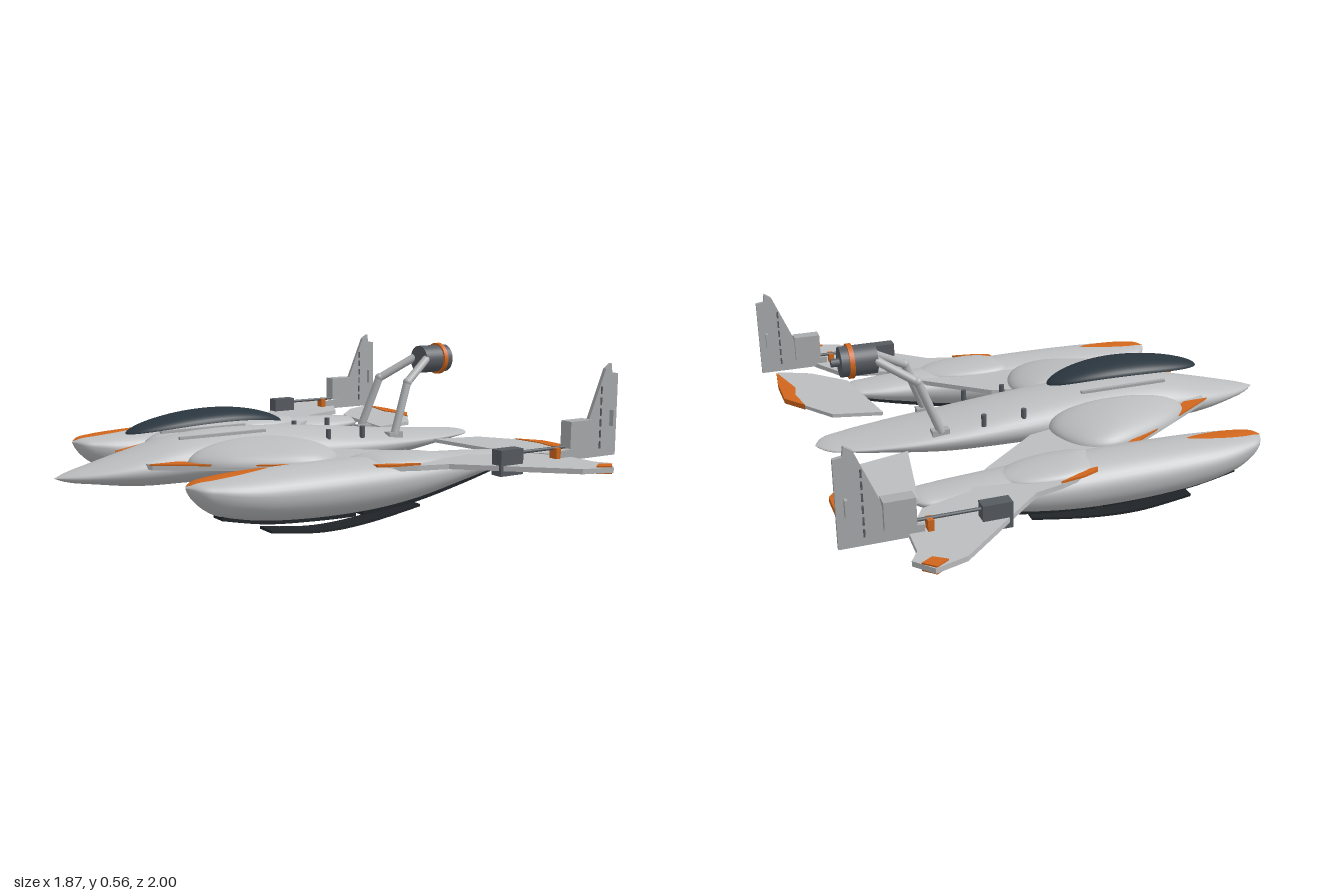
import * as THREE from 'three';
import { mergeVertices } from 'three/addons/utils/BufferGeometryUtils.js';

const mat = (name, color, side = THREE.FrontSide) => {
  const m = new THREE.MeshStandardMaterial({ color, side });
  m.name = name;
  return m;
};

// Grid surface from a function (u, v) -> [x, y, z]; outside is du x dv
function surf(fn, nu, nv) {
  const pos = [], idx = [], w = nv + 1;
  for (let i = 0; i <= nu; i++) for (let j = 0; j <= nv; j++) pos.push(...fn(i / nu, j / nv));
  for (let i = 0; i < nu; i++) for (let j = 0; j < nv; j++) {
    const a = i * w + j, b = a + w;
    idx.push(a, b, a + 1, b, b + 1, a + 1);
  }
  let g = new THREE.BufferGeometry();
  g.setAttribute('position', new THREE.Float32BufferAttribute(pos, 3));
  g.setIndex(idx);
  g = mergeVertices(g, 1e-5);
  g.computeVertexNormals();
  return g;
}

// Smooth stations [x, halfWidth, top, bottom, middle]
function profile(stations) {
  const f = new THREE.CubicInterpolant(stations.map(s => s[0]), stations.flatMap(s => s.slice(1)), 4);
  return x => Array.from(f.evaluate(x));
}
function loft(at, x0, x1, zc) {
  return surf((u, v) => {
    const x = x0 + (x1 - x0) * (1 - Math.cos(u * Math.PI)) / 2;
    const [w, top, bot, mid] = at(x), t = v * Math.PI * 2 - Math.PI / 2, s = Math.sin(t);
    return [x, mid + s * (s > 0 ? top - mid : mid - bot), zc + Math.max(w, 0) * Math.cos(t)];
  }, 56, 40);
}

// Flat plate from a plan outline [x, z]
function plate(pts, y, thick) {
  const shape = new THREE.Shape(pts.map(([x, z]) => new THREE.Vector2(x, -z)));
  return new THREE.ExtrudeGeometry(shape, { depth: thick, bevelEnabled: false }).rotateX(-Math.PI / 2).translate(0, y, 0);
}
// Upright plate from a side outline [x, y]
function upright(pts, z, thick) {
  const shape = new THREE.Shape(pts.map(p => new THREE.Vector2(...p)));
  return new THREE.ExtrudeGeometry(shape, { depth: thick, bevelEnabled: false }).translate(0, 0, z - thick / 2);
}
// Rounded swelling over a plan outline
function blister(pts, cx, cz, y, h) {
  const c = new THREE.CatmullRomCurve3(pts.map(([x, z]) => new THREE.Vector3(x, 0, z)), true);
  return surf((u, v) => {
    const p = c.getPoint(v % 1), r = Math.sin(u * Math.PI / 2);
    return [cx + (p.x - cx) * r, y + h * Math.cos(u * Math.PI / 2), cz + (p.z - cz) * r];
  }, 14, 48);
}
const box = (x0, x1, y0, y1, z0, z1) =>
  new THREE.BoxGeometry(x1 - x0, y1 - y0, z1 - z0).translate((x0 + x1) / 2, (y0 + y1) / 2, (z0 + z1) / 2);
const rodX = (r, x0, x1, y, z, n = 24) =>
  new THREE.CylinderGeometry(r, r, x1 - x0, n).rotateZ(-Math.PI / 2).translate((x0 + x1) / 2, y, z);
function strut(a, b, r) {
  const A = new THREE.Vector3(...a), B = new THREE.Vector3(...b);
  return new THREE.TubeGeometry(new THREE.LineCurve3(A, B), 1, r, 12, false);
}
function mirrorZ(geo) {
  const g = geo.clone().scale(1, 1, -1);
  const n = g.attributes.position.count;
  const idx = g.index ? Array.from(g.index.array) : Array.from({ length: n }, (_, i) => i);
  for (let i = 0; i < idx.length; i += 3) [idx[i + 1], idx[i + 2]] = [idx[i + 2], idx[i + 1]];
  g.setIndex(idx);
  return g;
}

export function createModel() {
  const hull = mat('hull grey', 0xbcbdbf), panel = mat('panel grey', 0xa9abad);
  const orange = mat('orange trim', 0xd0661c), glass = mat('canopy dark blue', 0x2a363f, THREE.DoubleSide);
  const steel = mat('dark steel', 0x565b61), black = mat('keel black', 0x202428);
  const tube = mat('strut grey', 0xb0b2b4, THREE.DoubleSide);
  const model = new THREE.Group();
  const add = (name, geo, m) => {
    const mesh = new THREE.Mesh(geo, m);
    mesh.name = name;
    model.add(mesh);
  };
  const pair = (name, geo, m) => {
    add(name + 'Left', geo, m);
    add(name + 'Right', mirrorZ(geo), m);
  };

  // Fuselage
  const body = profile([
    [-0.94, 0, 0.17, 0.17, 0.17], [-0.9, 0.033, 0.183, 0.155, 0.17], [-0.8, 0.082, 0.207, 0.138, 0.172],
    [-0.65, 0.13, 0.243, 0.117, 0.18], [-0.5, 0.152, 0.278, 0.112, 0.187], [-0.3, 0.163, 0.292, 0.11, 0.19],
    [0, 0.163, 0.28, 0.11, 0.19], [0.2, 0.16, 0.26, 0.113, 0.19], [0.4, 0.15, 0.237, 0.122, 0.19],
    [0.6, 0.125, 0.218, 0.15, 0.19], [0.75, 0.09, 0.206, 0.174, 0.19], [0.83, 0.05, 0.199, 0.184, 0.191],
    [0.857, 0, 0.191, 0.191, 0.191]]);
  add('fuselage', loft(body, -0.94, 0.857, 0), hull);

  // Canopy shell raised above the cockpit
  add('canopy', surf((u, v) => {
    const e = -Math.cos(u * Math.PI), k = Math.sqrt(Math.max(0, 1 - e * e)), t = v * Math.PI;
    return [-0.355 + 0.315 * e, 0.302 + 0.008 * e * (1 - e * e) + 0.028 * k * k + 0.041 * k * Math.sin(t), 0.097 * k * Math.cos(t)];
  }, 40, 20), glass);
  pair('cockpitRail', box(-0.5, -0.15, 0.278, 0.288, 0.07, 0.085), panel);

  // Fuselage fasteners
  for (const x of [0.1, 0.255])
    pair('fastener', new THREE.CylinderGeometry(0.01, 0.01, 0.045, 12).translate(x, 0.25, 0.125), steel);

  // Floats
  const pod = profile([
    [-0.685, 0, 0.2, 0.2, 0.2], [-0.66, 0.045, 0.212, 0.16, 0.193], [-0.6, 0.078, 0.221, 0.108, 0.182],
    [-0.5, 0.105, 0.228, 0.078, 0.168], [-0.35, 0.119, 0.234, 0.057, 0.158], [0, 0.123, 0.235, 0.05, 0.155],
    [0.2, 0.115, 0.228, 0.07, 0.16], [0.4, 0.095, 0.22, 0.11, 0.17], [0.55, 0.078, 0.21, 0.145, 0.18],
    [0.62, 0.055, 0.203, 0.166, 0.186], [0.655, 0, 0.19, 0.19, 0.19]]);
  pair('float', loft(pod, -0.685, 0.655, 0.5), hull);
  pair('floatNoseStripe', surf((u, v) => {
    const x = -0.683 + 0.303 * u, [w, top, , mid] = pod(x);
    const half = Math.min(0.032 * Math.pow(Math.sin(Math.PI * Math.pow(u, 0.75)), 0.7) || 0, w * 0.9);
    const z = Math.max(0, half) * (1 - 2 * v), q = w > 0 ? z / w : 0;
    return [x, mid + (top - mid) * Math.sqrt(Math.max(0, 1 - q * q)) + 0.004, 0.5 + z];
  }, 28, 8), orange);

  // Keel strips under each float
  const strip = (pts, width, thick) => {
    const c = new THREE.SplineCurve(pts.map(p => new THREE.Vector2(...p))).getPoints(20).map(p => [p.x, p.y]);
    return upright([...c, ...c.slice().reverse().map(([x, y]) => [x, y + thick])], 0.5, width);
  };
  pair('keelFront', strip([[-0.57, 0.085], [-0.4, 0.053], [-0.2, 0.04], [-0.05, 0.037]], 0.062, 0.022), black);
  pair('keelRear', strip([[-0.02, 0.037], [0.2, 0.058], [0.4, 0.098], [0.57, 0.14]], 0.062, 0.022), black);
  pair('keelRunner', strip([[-0.39, 0.022], [-0.19, 0], [0, 0.009], [0.22, 0.042]], 0.078, 0.009), black);

  // Wings with root and float fairings
  pair('wing', plate([[-0.65, 0.1], [-0.64, 0.155], [-0.19, 0.44], [0, 0.57], [0.14, 0.63], [0.25, 0.66], [0.38, 0.78],
    [0.58, 0.965], [0.69, 1], [0.745, 0.935], [0.715, 0.885], [0.71, 0.77], [0.63, 0.63], [0.45, 0.57], [0.35, 0.43],
    [0.11, 0.225], [0, 0.2], [0, 0.1]], 0.194, 0.018), hull);
  pair('wingRootFairing', blister([[-0.52, 0.18], [-0.47, 0.27], [-0.3, 0.37], [-0.12, 0.42], [-0.02, 0.37], [0.03, 0.22],
    [-0.02, 0.13], [-0.4, 0.12]], -0.27, 0.18, 0.208, 0.075), hull);
  pair('floatFairing', blister([[-0.03, 0.43], [0, 0.56], [0.1, 0.605], [0.28, 0.58], [0.34, 0.51], [0.28, 0.44],
    [0.1, 0.4]], 0.08, 0.5, 0.208, 0.036), hull);
  pair('leadingEdgeStripe', plate([[-0.65, 0.153], [-0.55, 0.155], [-0.49, 0.2], [-0.19, 0.42], [-0.18, 0.44],
    [-0.22, 0.428]], 0.211, 0.006), orange);
  pair('outerWingStripe', plate([[-0.01, 0.565], [0.03, 0.575], [0.15, 0.63], [0.06, 0.615], [0, 0.59]], 0.213, 0.008), orange);
  pair('wingVent', box(-0.265, -0.15, 0.2, 0.222, 0.443, 0.458), steel);
  const diamond = [[0.64, 0.968], [0.685, 0.997], [0.722, 0.962], [0.683, 0.937]];
  pair('wingTipMarkTop', plate(diamond, 0.212, 0.005), orange);
  pair('wingTipMarkBottom', plate(diamond, 0.189, 0.005), orange);

  // Tailplanes
  pair('tailplane', plate([[0.56, 0.185], [0.62, 0.55], [0.745, 0.68], [0.87, 0.74], [0.885, 0.6], [0.885, 0.44],
    [0.83, 0.355], [0.745, 0.23]], 0.19, 0.014), hull);
  pair('tailplaneStripe', plate([[0.878, 0.73], [0.892, 0.6], [0.892, 0.44], [0.828, 0.35], [0.845, 0.47], [0.832, 0.54]],
    0.187, 0.02), orange);

  // Upright fins with their fittings
  pair('fin', upright([[0.66, 0.2], [0.66, 0.235], [0.775, 0.245], [0.795, 0.345], [0.868, 0.52], [0.895, 0.538], [0.9, 0.505],
    [0.93, 0.5], [0.93, 0.2]], 0.77, 0.014), panel);
  pair('finHousing', box(0.688, 0.79, 0.245, 0.342, 0.745, 0.795), panel);
  for (let i = 0; i < 6; i++)
    pair('finSlot', box(0.846, 0.852, 0.23 + i * 0.04, 0.257 + i * 0.04, 0.76, 0.78), steel);
  pair('finLatch', box(0.895, 0.905, 0.31, 0.37, 0.745, 0.795), panel);
  pair('finClamp', box(0.632, 0.652, 0.18, 0.25, 0.75, 0.785), orange);
  pair('finRod', rodX(0.006, 0.45, 0.69, 0.248, 0.763, 10), steel);
  pair('wingBox', box(0.375, 0.475, 0.175, 0.266, 0.738, 0.786), steel);

  // Engine and its bent struts
  pair('strutLower', strut([0.415, 0.225, 0.115], [0.49, 0.425, 0.095], 0.016), tube);
  pair('strutUpper', strut([0.485, 0.42, 0.096], [0.625, 0.505, 0.04], 0.016), tube);
  pair('strutJoint', new THREE.SphereGeometry(0.018, 14, 10).translate(0.49, 0.424, 0.095), tube);
  pair('strutFoot', box(0.385, 0.45, 0.21, 0.235, 0.09, 0.125), panel);
  add('engine', rodX(0.055, 0.618, 0.748, 0.5, 0, 32), steel);
  add('engineRing', rodX(0.063, 0.702, 0.72, 0.5, 0, 32), orange);
  add('engineShaft', rodX(0.015, 0.74, 0.778, 0.5, 0, 16), steel);
  return model;
}
